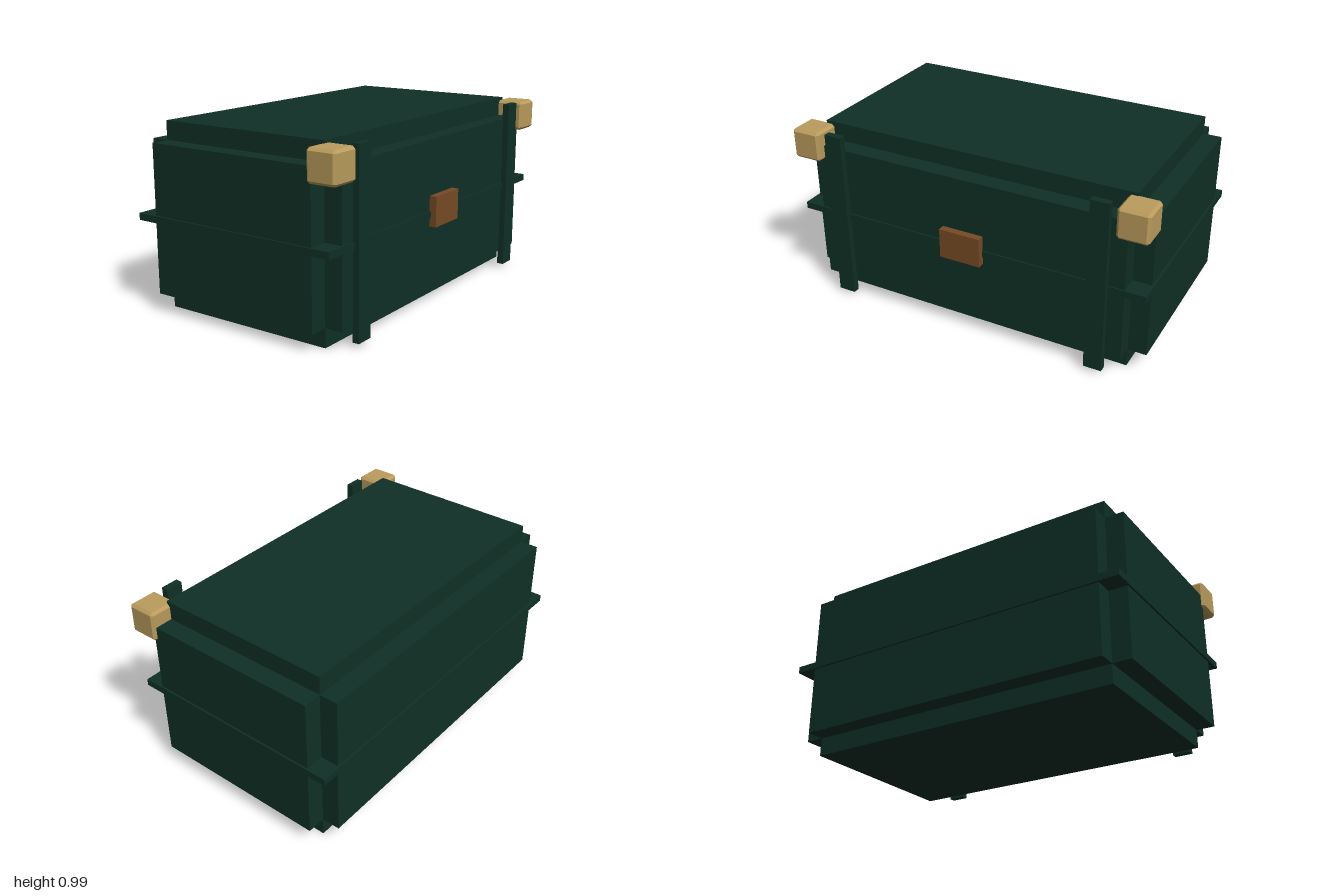
import * as THREE from 'three';
import { ConvexGeometry } from 'three/addons/geometries/ConvexGeometry.js';

export function createModel() {
  const model = new THREE.Group();
  model.name = 'chest';

  const mat = (name, color) => {
    const m = new THREE.MeshStandardMaterial({ color });
    m.name = name;
    return m;
  };
  const green = mat('darkGreen', 0x0f3026);
  const brass = mat('brass', 0xba9c5c);
  const brown = mat('brownLeather', 0x774b25);

  // Box given by its extents along each axis
  const box = (name, material, [x0, x1], [y0, y1], [z0, z1]) => {
    const mesh = new THREE.Mesh(new THREE.BoxGeometry(x1 - x0, y1 - y0, z1 - z0), material);
    mesh.position.set((x0 + x1) / 2, (y0 + y1) / 2, (z0 + z1) / 2);
    mesh.name = name;
    model.add(mesh);
  };

  // Cube with chamfered edges: each corner becomes three points
  const chamferedCube = (size, bevel) => {
    const h = size / 2, i = h - bevel, points = [];
    for (const x of [-1, 1]) for (const y of [-1, 1]) for (const z of [-1, 1]) {
      points.push(
        new THREE.Vector3(x * h, y * i, z * i),
        new THREE.Vector3(x * i, y * h, z * i),
        new THREE.Vector3(x * i, y * i, z * h));
    }
    return new ConvexGeometry(points);
  };

  // Body: a core with raised panels on all four sides, leaving notched corners
  box('core', green, [-0.883, 0.883], [0, 0.985], [-0.51, 0.474]);
  box('backPanel', green, [-0.883, 0.883], [0.1, 0.885], [-0.609, -0.51]);
  box('frontPanel', green, [-0.883, 0.883], [0.1, 0.885], [0.474, 0.572]);
  for (const s of [-1, 1]) {
    const xs = [s * 0.883, s * 0.983].sort((a, b) => a - b);
    box(s > 0 ? 'leftPanel' : 'rightPanel', green, xs, [0.1, 0.885], [-0.51, 0.474]);
  }

  // Rim where the lid meets the base
  box('rim', green, [-0.993, 0.993], [0.476, 0.513], [-0.62, 0.58]);

  // Front straps and brass upper corners, mirrored
  const cornerGeometry = chamferedCube(0.164, 0.014);
  for (const s of [-1, 1]) {
    const side = s > 0 ? 'left' : 'right';
    const xs = [s * 0.7, s * 0.798].sort((a, b) => a - b);
    box(side + 'Strap', green, xs, [0.023, 0.97], [0.568, 0.605]);

    const corner = new THREE.Mesh(cornerGeometry, brass);
    corner.position.set(s * 0.918, 0.888, 0.538);
    corner.name = side + 'CornerCap';
    model.add(corner);
  }

  // Latch plate
  box('latch', brown, [-0.115, 0.115], [0.432, 0.594], [0.57, 0.611]);

  return model;
}
